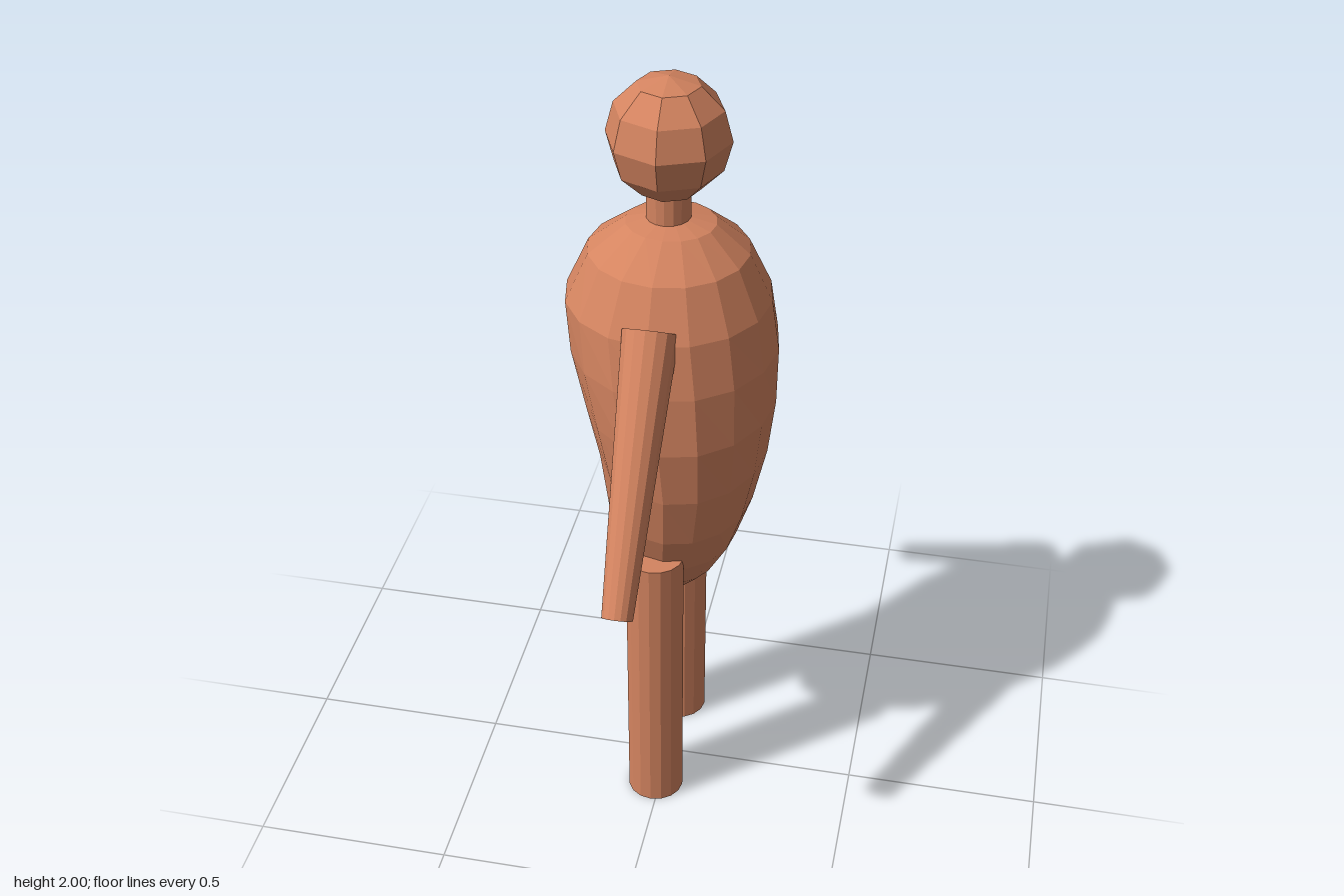
import * as THREE from 'three';

const material = new THREE.MeshStandardMaterial({ color: 0xd48460, flatShading: true });
const CX = -0.013, CZ = -0.052; // body axis

// Tapered limb running from point a to point b
function limb(name, a, b, rA, rB, sides = 16) {
  const from = new THREE.Vector3(...a), to = new THREE.Vector3(...b);
  const dir = to.clone().sub(from);
  const mesh = new THREE.Mesh(new THREE.CylinderGeometry(rB, rA, dir.length(), sides), material);
  mesh.name = name;
  mesh.position.copy(from).add(to).multiplyScalar(0.5);
  mesh.quaternion.setFromUnitVectors(new THREE.Vector3(0, 1, 0), dir.normalize());
  return mesh;
}

// Torso: a sphere whose rings are resized and shifted to follow a profile
function torsoGeometry() {
  // [height, back x, front x, half width in z], top to bottom
  const rings = [
    [1.665, -0.01, -0.01, 0],
    [1.64, -0.115, 0.10, 0.10],
    [1.57, -0.205, 0.18, 0.19],
    [1.45, -0.26, 0.235, 0.25],
    [1.32, -0.248, 0.254, 0.274],
    [1.17, -0.213, 0.252, 0.283],
    [1.02, -0.18, 0.235, 0.266],
    [0.87, -0.163, 0.202, 0.23],
    [0.75, -0.148, 0.162, 0.18],
    [0.65, -0.118, 0.108, 0.115],
    [0.585, -0.07, 0.045, 0.062],
    [0.557, -0.013, -0.013, 0],
  ];
  const sides = 16, rows = rings.length - 1;
  const geo = new THREE.SphereGeometry(1, sides, rows);
  const pos = geo.attributes.position;
  for (let i = 0; i < pos.count; i++) {
    const [y, back, front, halfZ] = rings[Math.floor(i / (sides + 1))];
    const a = (i % (sides + 1)) / sides * Math.PI * 2;
    pos.setXYZ(i, (back + front) / 2 - Math.cos(a) * (front - back) / 2, y, CZ + Math.sin(a) * halfZ);
  }
  geo.computeVertexNormals();
  return geo;
}

export function createModel() {
  const model = new THREE.Group();
  model.name = 'figure';

  const torso = new THREE.Mesh(torsoGeometry(), material);
  torso.name = 'torso';

  const head = new THREE.Mesh(new THREE.SphereGeometry(0.147, 8, 6), material);
  head.name = 'head';
  head.position.set(CX, 1.853, CZ);

  const neck = limb('neck', [CX, 1.62, CZ], [CX, 1.76, CZ], 0.053, 0.053);

  // Arms taper from the shoulder to the hand
  const leftArm = limb('armPositiveZ', [CX, 1.464, 0.155], [CX, 0.928, 0.536], 0.067, 0.037);
  const rightArm = limb('armNegativeZ', [CX, 1.49, -0.264], [CX, 0.897, -0.528], 0.067, 0.037);

  model.add(torso, head, neck, leftArm, rightArm);

  // Straight legs
  for (const [name, z] of [['legPositiveZ', 0.122], ['legNegativeZ', -0.202]]) {
    model.add(limb(name, [CX, 0, z], [CX, 0.788, z], 0.073, 0.073));
  }
  return model;
}
